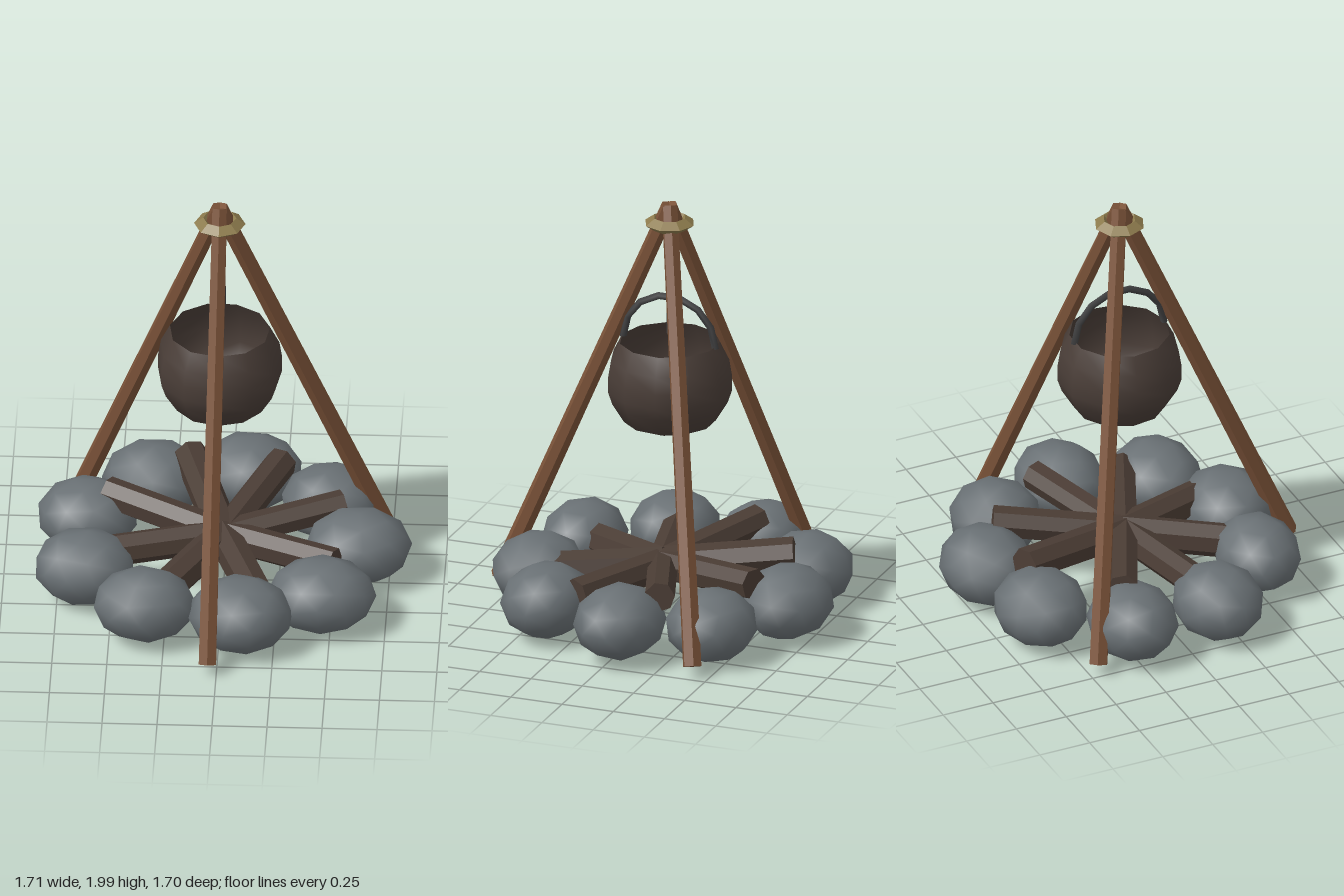
import * as THREE from 'three';

function material(name, color, options = {}) {
  const m = new THREE.MeshStandardMaterial({ color, ...options });
  m.name = name;
  return m;
}

export function createModel() {
  const group = new THREE.Group();
  const poleWood = material('pole wood', 0x7a5238, { flatShading: true });
  const charredWood = material('charred wood', 0x4a3c34, { flatShading: true });
  const stoneGrey = material('stone grey', 0x697074);
  const rope = material('rope', 0x8c7a4c, { flatShading: true });
  const potIron = material('pot iron', 0x493d37, { side: THREE.DoubleSide });
  const darkIron = material('dark iron', 0x404041);
  const cx = -0.02, cz = -0.025;

  function add(name, geometry, mat) {
    const mesh = new THREE.Mesh(geometry, mat);
    mesh.name = name;
    group.add(mesh);
    return mesh;
  }

  // Straight rod between two points, with a radius at each end
  function rod(name, from, to, rFrom, rTo, sides, mat) {
    const a = new THREE.Vector3(...from), b = new THREE.Vector3(...to);
    const dir = b.clone().sub(a);
    const mesh = add(name, new THREE.CylinderGeometry(rTo, rFrom, dir.length(), sides), mat);
    mesh.position.copy(a).add(b).multiplyScalar(0.5);
    mesh.quaternion.setFromUnitVectors(new THREE.Vector3(0, 1, 0), dir.normalize());
    return mesh;
  }

  // Tripod poles meeting at the top
  const feet = [[-0.04, 0.065, 0.81], [0.715, 0.065, -0.425], [-0.725, 0.065, -0.46]];
  feet.forEach((foot) => rod('tripodPole', foot, [cx, 1.987, cz], 0.045, 0.038, 6, poleWood));

  // Rope lashing
  const lashing = [[0.05, 0], [0.075, -0.03], [0.117, 0], [0.075, 0.03], [0.05, 0]]
    .map(([r, y]) => new THREE.Vector2(r, y));
  add('ropeLashing', new THREE.LatheGeometry(lashing, 8), rope).position.set(cx, 1.905, cz);

  // Hanging hook rod
  rod('hookRod', [cx + 0.005, 1.37, cz], [cx + 0.005, 1.92, cz], 0.013, 0.013, 6, darkIron);

  // Open pot
  const profile = [[0, 0.903], [0.12, 0.913], [0.21, 0.95], [0.265, 1.04], [0.285, 1.1],
    [0.285, 1.17], [0.272, 1.25], [0.23, 1.333]].map(([r, y]) => new THREE.Vector2(r, y));
  add('pot', new THREE.LatheGeometry(profile, 11), potIron).position.set(cx, 0, cz);

  // Arched pot handle, running front to back
  const handle = add('potHandle', new THREE.TorusGeometry(0.225, 0.017, 5, 7, Math.PI), darkIron);
  handle.rotation.y = Math.PI / 2;
  handle.position.set(cx + 0.003, 1.325, cz);

  // Logs laid like spokes: heading in degrees, length, outer height, radius
  const logs = [
    [20, 0.57, 0.305, 0.07], [66, 0.59, 0.31, 0.074], [107, 0.6, 0.315, 0.08],
    [155, 0.6, 0.305, 0.075], [194, 0.58, 0.23, 0.075], [240, 0.57, 0.22, 0.08],
    [290, 0.57, 0.22, 0.08], [336, 0.56, 0.25, 0.075],
  ];
  logs.forEach(([deg, length, y, r]) => {
    const t = THREE.MathUtils.degToRad(deg);
    rod('log', [0, 0.25, 0], [Math.cos(t) * length, y, -Math.sin(t) * length], r, r, 7, charredWood);
  });

  // Fire ring stones: x, z, half width, half depth
  const stones = [
    [-0.34, -0.57, 0.24, 0.215], [0.09, -0.64, 0.245, 0.215], [0.465, -0.42, 0.225, 0.21],
    [0.61, -0.03, 0.245, 0.207], [0.46, 0.385, 0.25, 0.207], [0.1, 0.565, 0.24, 0.215],
    [-0.34, 0.515, 0.235, 0.195], [-0.625, 0.185, 0.233, 0.207], [-0.63, -0.245, 0.233, 0.207],
  ];
  stones.forEach(([x, z, w, d], i) => {
    const geometry = new THREE.IcosahedronGeometry(1, 1);
    geometry.rotateX(i * 0.7).rotateY(i * 1.3).scale(w, 0.17, d);
    add('ringStone', geometry, stoneGrey).position.set(x, 0.187 + 0.007 * Math.sin(i * 2.4), z);
  });

  return group;
}
